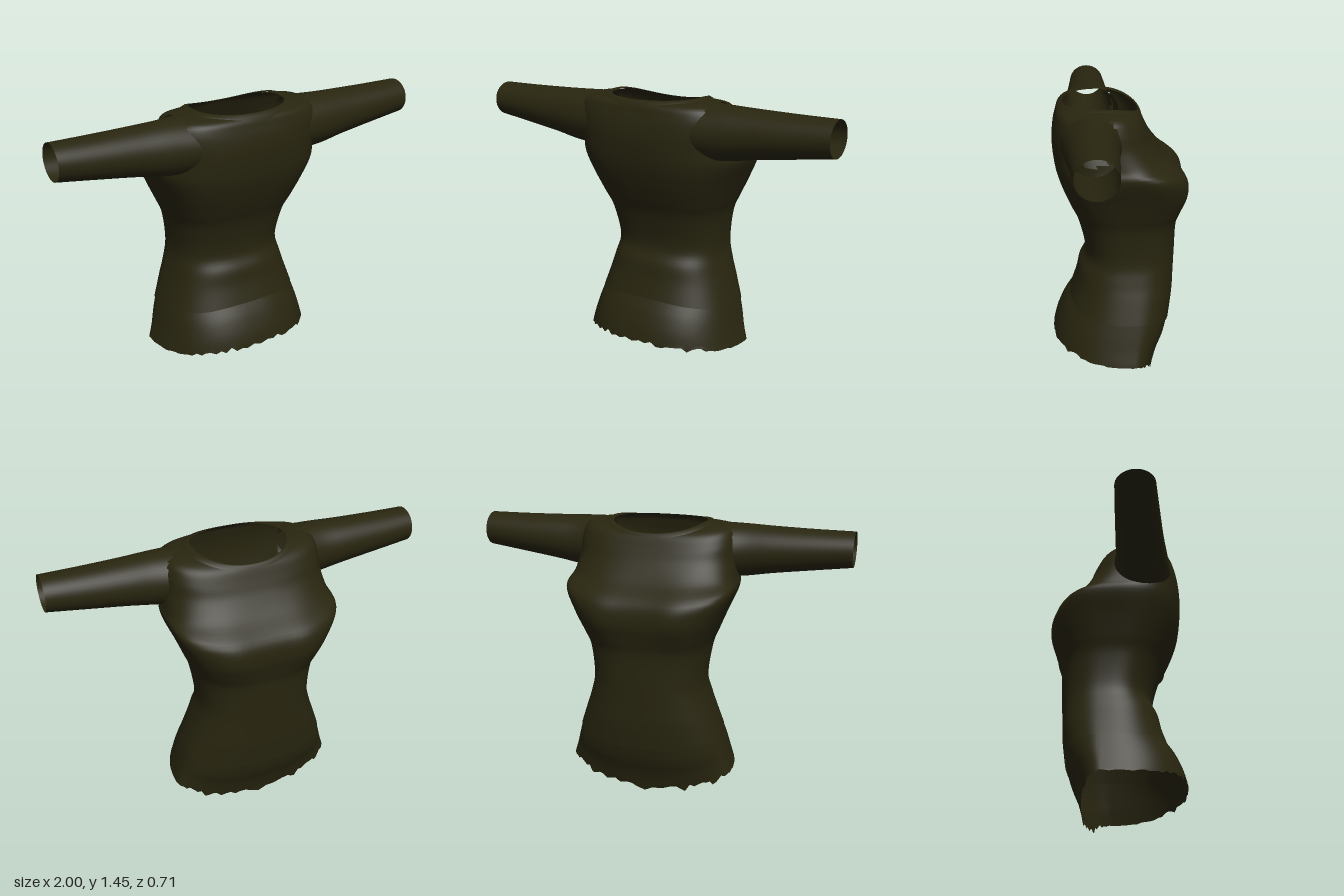
import * as THREE from 'three';

const cloth = new THREE.MeshStandardMaterial({ color: 0x28250f, side: THREE.DoubleSide });
cloth.name = 'dark olive cloth';

const SEG = 96;

// Smoothly resample a table of cross-section parameters
function resample(rows, count) {
  const cr = (a, b, c, d, t) =>
    b + 0.5 * t * (c - a + t * (2 * a - 5 * b + 4 * c - d + t * (3 * (b - c) + d - a)));
  return Array.from({ length: count + 1 }, (_, k) => {
    const f = (k / count) * (rows.length - 1);
    const i = Math.min(Math.floor(f), rows.length - 2);
    const at = j => rows[Math.max(0, Math.min(rows.length - 1, j))];
    return rows[0].map((_, c) => cr(at(i - 1)[c], at(i)[c], at(i + 1)[c], at(i + 2)[c], f - i));
  });
}

// Skin closed rings of points; quads for which skip() is true are left open
function loft(name, rings, flip = false, skip = () => false) {
  const n = rings[0].length, pos = rings.flat(2), index = [];
  for (let r = 0; r < rings.length - 1; r++) {
    for (let s = 0; s < n; s++) {
      const t = (s + 1) % n;
      const a = r * n + s, b = r * n + t, c = a + n, d = b + n;
      const mid = [0, 1, 2].map(k => (rings[r][s][k] + rings[r][t][k] + rings[r + 1][s][k] + rings[r + 1][t][k]) / 4);
      if (skip(mid)) continue;
      if (flip) index.push(a, b, c, b, d, c);
      else index.push(a, c, b, b, c, d);
    }
  }
  const g = new THREE.BufferGeometry();
  g.setAttribute('position', new THREE.Float32BufferAttribute(pos, 3));
  g.setIndex(index);
  g.computeVertexNormals();
  const mesh = new THREE.Mesh(g, cloth);
  mesh.name = name;
  return mesh;
}

// Body section: heights and depths at +z (P), side (S) and -z (N), half width, squareness, bust
function bodyRing([yP, yS, yN, w, zP, zS, zN, e, bust], grow = 0) {
  return Array.from({ length: SEG }, (_, i) => {
    const a = (i / SEG) * Math.PI * 2, c = Math.cos(a), s = Math.sin(a), m = Math.abs(s);
    const x = (w + grow) * Math.sign(c) * Math.abs(c) ** e;
    const k = m ** e;
    const y = yS + ((s > 0 ? yP : yN) - yS) * m * m;
    let z = zS + ((s > 0 ? zP + grow : zN - grow) - zS) * k;
    if (s < 0) z -= bust * m * Math.exp(-(((Math.abs(x) - 0.2) / 0.1) ** 2));
    return [x, y, z];
  });
}

function rng(seed) {
  return () => (seed = (seed * 16807) % 2147483647) / 2147483647;
}

export function createModel() {
  const group = new THREE.Group();
  group.name = 'longSleevedTop';

  // Torso, from waist seam to neckline
  const body = [
    [0.38, 0.34, 0.28, 0.39, 0.262, -0.06, -0.272, 0.8, 0],
    [0.48, 0.45, 0.42, 0.352, 0.228, -0.06, -0.29, 0.8, 0],
    [0.56, 0.54, 0.52, 0.322, 0.21, -0.06, -0.295, 0.8, 0],
    [0.65, 0.645, 0.64, 0.3, 0.176, -0.06, -0.3, 0.8, 0],
    [0.82, 0.81, 0.8, 0.318, 0.212, -0.04, -0.305, 0.75, 0],
    [0.92, 0.9, 0.88, 0.35, 0.255, -0.04, -0.322, 0.7, 0.008],
    [1.02, 1.0, 0.98, 0.39, 0.295, -0.05, -0.345, 0.65, 0.016],
    [1.12, 1.12, 1.08, 0.44, 0.325, -0.05, -0.328, 0.65, 0.014],
    [1.24, 1.18, 1.17, 0.43, 0.34, 0.03, -0.235, 0.7, 0.006],
    [1.32, 1.27, 1.25, 0.42, 0.335, 0.1, -0.175, 0.7, 0],
    [1.375, 1.36, 1.31, 0.415, 0.322, 0.12, -0.143, 0.7, 0],
    [1.41, 1.42, 1.37, 0.38, 0.31, 0.11, -0.115, 0.75, 0],
    [1.43, 1.437, 1.395, 0.25, 0.285, 0.1, -0.1, 0.9, 0],
  ];
  const armhole = ([x, y, z]) =>
    Math.abs(x) > 0.35 && ((y - 1.325) / 0.12) ** 2 + ((z - 0.14) / 0.125) ** 2 < 1;
  const rows = resample(body, 60);
  group.add(loft('torso', rows.map(r => bodyRing(r)), false, armhole));

  // Narrow collar band around the neck
  const collar = [
    [1.402, 1.436, 1.378, 0.285, 0.314, 0.1, -0.115, 0.85, 0],
    [1.425, 1.446, 1.395, 0.265, 0.305, 0.1, -0.106, 0.87, 0],
    [1.435, 1.442, 1.397, 0.245, 0.28, 0.1, -0.098, 0.9, 0],
  ];
  group.add(loft('collarBand', collar.map(r => bodyRing(r, 0.002))));

  // Flared hem with a ragged lower edge
  const hem = [
    [0.18, 0.13, 0.018, 0.45, 0.355, -0.06, -0.182, 0.85, 0],
    [0.25, 0.2, 0.11, 0.427, 0.335, -0.06, -0.208, 0.82, 0],
    [0.33, 0.27, 0.2, 0.407, 0.298, -0.06, -0.245, 0.8, 0],
    [0.39, 0.35, 0.29, 0.384, 0.256, -0.06, -0.268, 0.8, 0],
  ];
  const rand = rng(77);
  const hemRings = resample(hem, 12).map(r => bodyRing(r));
  hemRings[0].forEach(p => {
    const rag = p[2] < -0.12 ? 0.018 : p[2] > 0.22 ? 0.014 : 0.004;
    p[1] = Math.max(0, p[1] + (rand() * 2 - 1) * rag);
  });
  hemRings[0][SEG * 0.75][1] = 0;
  group.add(loft('hem', hemRings));

  // Open tapered sleeves: x, centre y, centre z, radius y, radius z
  const sleeve = resample([
    [0.31, 1.292, 0.135, 0.142, 0.16],
    [0.45, 1.295, 0.145, 0.135, 0.135],
    [0.6, 1.305, 0.142, 0.12, 0.122],
    [0.8, 1.317, 0.14, 0.104, 0.11],
    [1, 1.33, 0.139, 0.09, 0.098],
  ], 24);
  for (const side of [1, -1]) {
    const rings = sleeve.map(([x, cy, cz, ry, rz]) =>
      Array.from({ length: 40 }, (_, i) => {
        const a = (i / 40) * Math.PI * 2;
        return [side * x, cy + ry * Math.cos(a), cz + rz * Math.sin(a)];
      }));
    group.add(loft(side > 0 ? 'leftSleeve' : 'rightSleeve', rings, side > 0));
  }
  return group;
}
